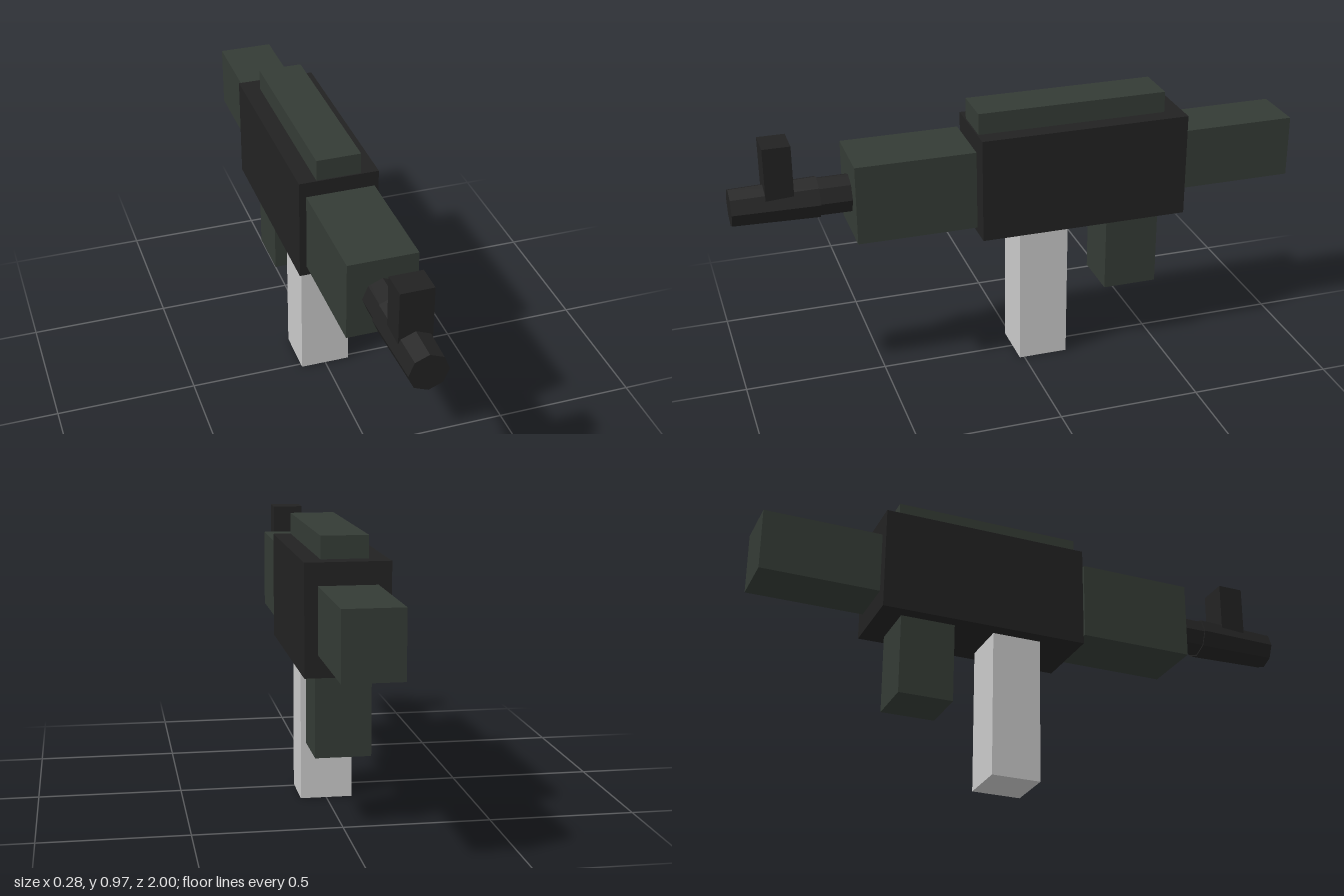
import * as THREE from 'three';

export function createModel() {
  const model = new THREE.Group();
  const material = (name, color) => {
    const m = new THREE.MeshStandardMaterial({ color });
    m.name = name;
    return m;
  };
  const black = material('black metal', 0x222222);
  const green = material('dark green', 0x343b35);
  const grey = material('light grey', 0xc8c8c8);

  const add = (name, geometry, mat) => {
    const mesh = new THREE.Mesh(geometry, mat);
    mesh.name = name;
    model.add(mesh);
    return mesh;
  };

  // Box centred on x = 0, given half width and y and z ranges
  const block = (name, mat, halfWidth, y0, y1, z0, z1) =>
    add(name, new THREE.BoxGeometry(2 * halfWidth, y1 - y0, z1 - z0), mat)
      .position.set(0, (y0 + y1) / 2, (z0 + z1) / 2);

  // Eight-sided tube along z, faceted, with its own radius at each end
  const tube = (name, frontRadius, backRadius, z0, z1) => {
    const geometry = new THREE.CylinderGeometry(frontRadius, backRadius, z1 - z0, 8)
      .rotateX(Math.PI / 2).toNonIndexed();
    geometry.computeVertexNormals();
    add(name, geometry, black).position.set(0, 0.71, (z0 + z1) / 2);
  };

  // Body
  block('receiver', black, 0.14, 0.525, 0.895, -0.58, 0.165);
  block('topCover', green, 0.078, 0.88, 0.97, -0.515, 0.16);
  block('stock', green, 0.097, 0.6, 0.82, -1, -0.57);
  block('handguard', green, 0.12, 0.57, 0.85, 0.18, 0.597);

  // Parts below the body
  block('grip', green, 0.093, 0.24, 0.54, -0.5, -0.305);
  block('magazine', grey, 0.09, 0, 0.54, -0.16, 0.017);

  // Barrel, muzzle and front sight
  tube('barrel', 0.068, 0.07, 0.15, 0.71);
  tube('muzzle', 0.066, 0.074, 0.705, 1);
  block('frontSight', black, 0.056, 0.71, 0.927, 0.79, 0.885);

  return model;
}
